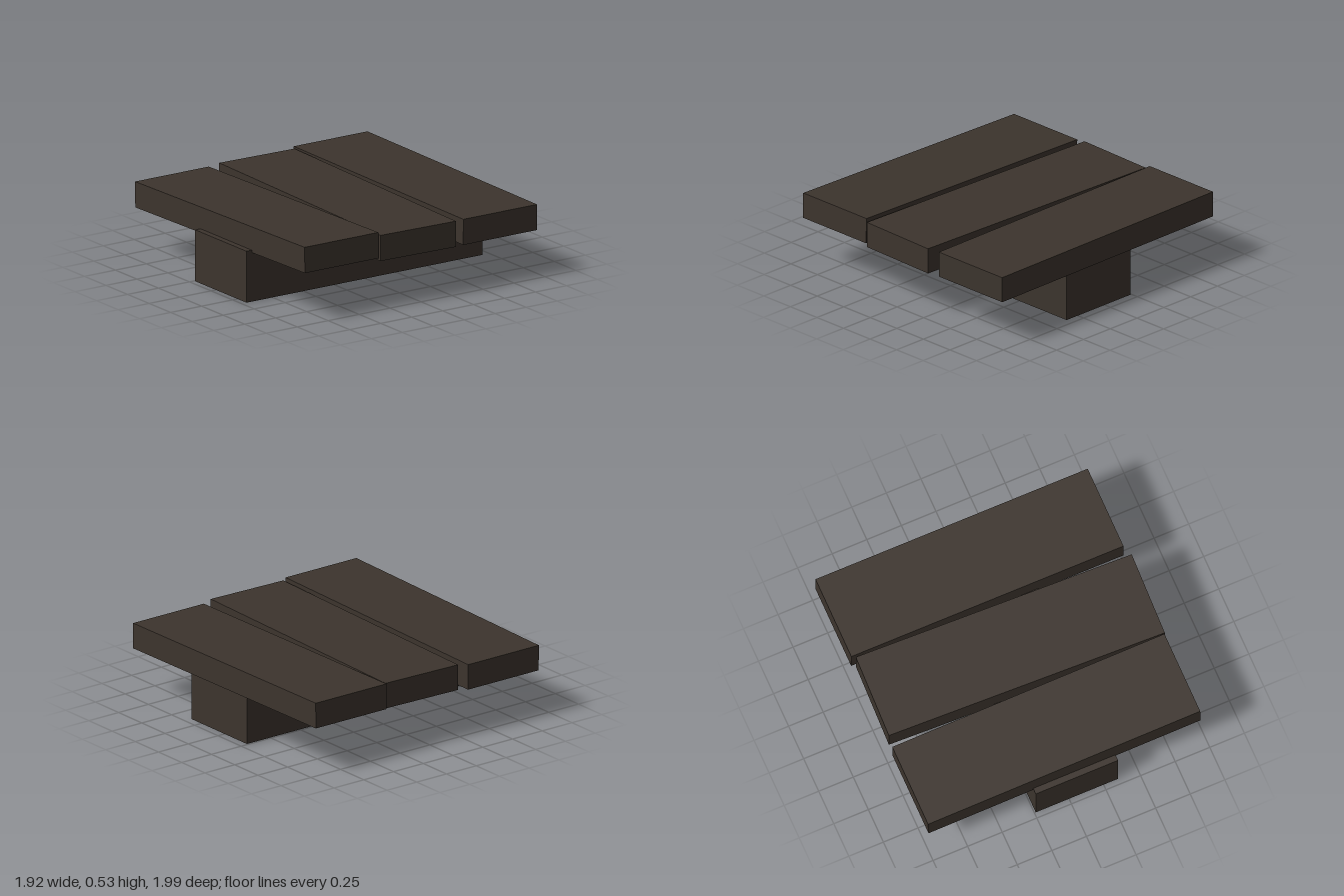
import * as THREE from 'three';

export function createModel() {
  const group = new THREE.Group();
  group.name = 'plankPlatform';
  const darkWood = new THREE.MeshStandardMaterial({ color: 0x3c342d });
  darkWood.name = 'darkWood';

  function board(name, size, position, tilt = 0, turn = 0) {
    const mesh = new THREE.Mesh(new THREE.BoxGeometry(...size), darkWood);
    mesh.name = name;
    mesh.position.set(...position);
    mesh.rotation.set(tilt, turn, 0);
    group.add(mesh);
  }

  // Cross beam standing on the ground
  board('crossBeam', [1.905, 0.356, 0.595], [-0.008, 0.178, 0.057]);

  // Three loosely laid planks, each slightly out of line
  const plank = [0.595, 0.178, 1.967];
  board('rightPlank', plank, [-0.62, 0.422, -0.015], -0.018);
  board('middlePlank', plank, [0.02, 0.419, 0.002], 0, -0.033);
  board('leftPlank', plank, [0.66, 0.419, -0.015], 0.0075);

  return group;
}
